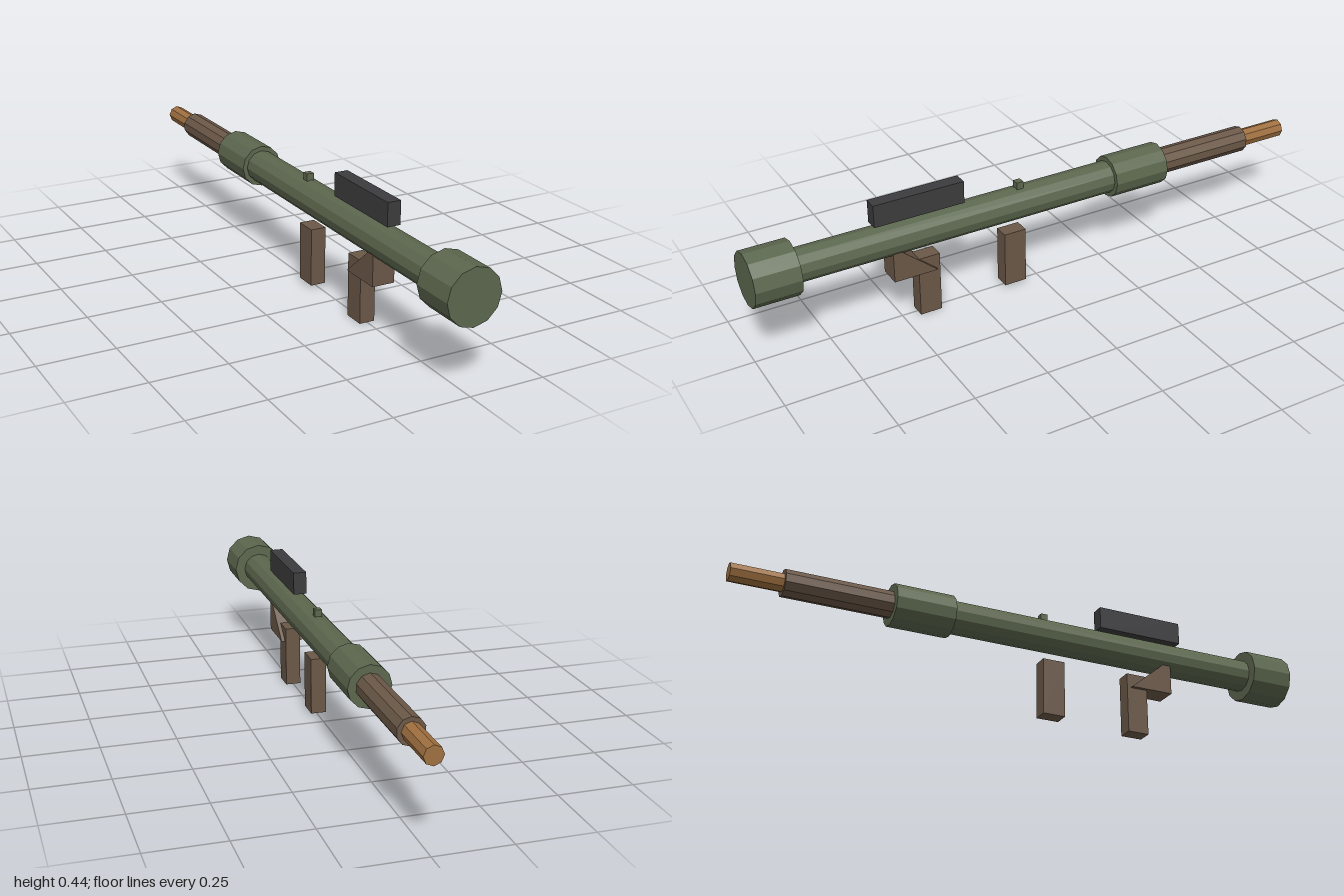
import * as THREE from 'three';

function material(name, color) {
  const m = new THREE.MeshStandardMaterial({ color });
  m.name = name;
  m.flatShading = true;
  return m;
}

export function createModel() {
  const group = new THREE.Group();
  group.name = 'launcher';
  const green = material('olive green', 0x5c674e);
  const brown = material('dark brown', 0x6b5848);
  const wood = material('light wood', 0xa07040);
  const black = material('charcoal', 0x3c3c3e);
  const axisY = 0.3;

  function add(name, geometry, mat) {
    const mesh = new THREE.Mesh(geometry, mat);
    mesh.name = name;
    group.add(mesh);
    return mesh;
  }

  // Faceted cylinder lying along z between two stations
  function barrel(name, radius, zBack, zFront, sides, mat) {
    const g = new THREE.CylinderGeometry(radius, radius, zFront - zBack, sides);
    g.rotateX(Math.PI / 2);
    add(name, g, mat).position.set(0, axisY, (zBack + zFront) / 2);
  }

  // Box centred on x = 0, given by its y and z limits
  function block(name, width, y0, y1, z0, z1, mat) {
    const g = new THREE.BoxGeometry(width, y1 - y0, z1 - z0);
    add(name, g, mat).position.set(0, (y0 + y1) / 2, (z0 + z1) / 2);
  }

  // Tube sections from front to back
  barrel('frontCap', 0.09, 0.85, 1, 12, green);
  barrel('mainTube', 0.055, -0.28, 0.86, 12, green);
  barrel('rearSleeve', 0.071, -0.475, -0.272, 12, green);
  barrel('rearTube', 0.045, -0.83, -0.47, 10, brown);
  barrel('rearTip', 0.031, -1, -0.82, 8, wood);

  // Sights
  block('scope', 0.045, 0.366, 0.443, 0.275, 0.586, black);
  block('rearSight', 0.024, 0.35, 0.377, 0.055, 0.079, green);

  // Grips
  block('triggerGrip', 0.052, 0, 0.21, 0.37, 0.445, brown);
  block('supportGrip', 0.052, 0.01, 0.205, 0.055, 0.133, brown);

  // Triangular trigger housing, drawn in (-z, y) and extruded across x
  const side = new THREE.Shape();
  side.moveTo(-0.535, 0.16);
  side.lineTo(-0.383, 0.16);
  side.lineTo(-0.535, 0.288);
  side.closePath();
  const housing = new THREE.ExtrudeGeometry(side, { depth: 0.076, bevelEnabled: false });
  housing.translate(0, 0, -0.038);
  housing.rotateY(Math.PI / 2);
  add('triggerHousing', housing, brown);

  return group;
}
